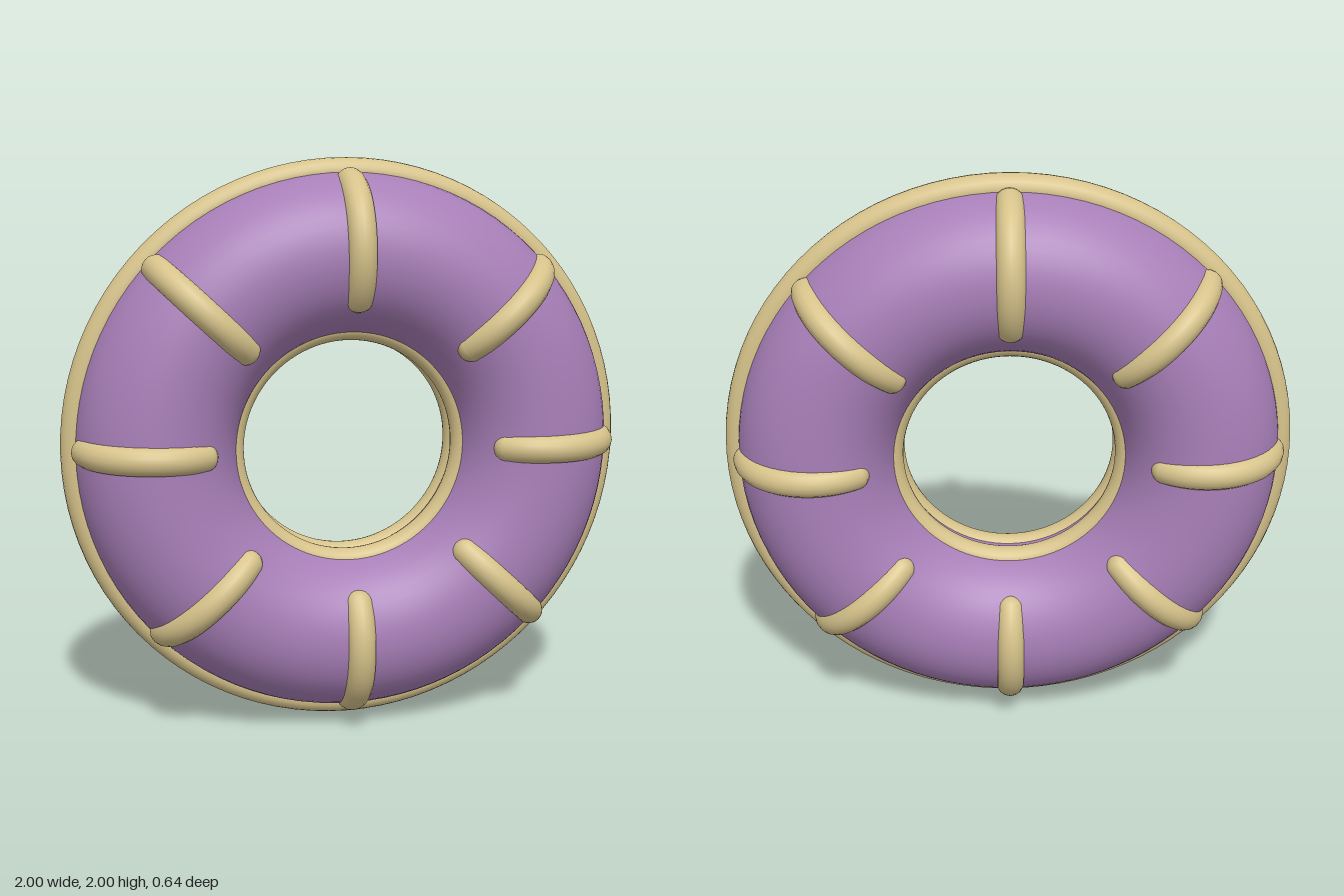
import * as THREE from 'three';

// Circular arc bowed over the tube, lying in the radius/z plane
class RibArc extends THREE.Curve {
  getPoint(t, target = new THREE.Vector3()) {
    const a = THREE.MathUtils.degToRad(10 + 120 * t);
    return target.set(0.685 + 0.235 * Math.cos(a), 0, 0.033 + 0.235 * Math.sin(a));
  }
}

export function createModel() {
  const purple = new THREE.MeshStandardMaterial({ color: 0xa87fb8 });
  purple.name = 'purple';
  const sand = new THREE.MeshStandardMaterial({ color: 0xd6c28a });
  sand.name = 'sand';

  const model = new THREE.Group();
  model.name = 'ring';

  const addRing = (name, radius, tube, z, material, sides = 20) => {
    const mesh = new THREE.Mesh(new THREE.TorusGeometry(radius, tube, sides, 96), material);
    mesh.name = name;
    mesh.position.set(0, 1, z);
    model.add(mesh);
  };

  // Fat body with an outer seam cord and a pair of cords inside the hole
  addRing('body', 0.672, 0.282, -0.006, purple, 48);
  addRing('outerCord', 0.95, 0.05, -0.01, sand);
  addRing('innerCordFront', 0.418, 0.045, 0.042, sand);
  addRing('innerCordBack', 0.418, 0.045, -0.054, sand);

  // Eight round-ended ribs on each face
  const arc = new RibArc();
  const ribGeometry = new THREE.TubeGeometry(arc, 28, 0.05, 16);
  const capGeometry = new THREE.SphereGeometry(0.05, 16, 12);
  const angles = [0, 42, 90, 136.5, 179, 223.5, 270, 316.5];
  for (const side of ['front', 'back']) {
    const ribs = new THREE.Group();
    ribs.name = side + 'Ribs';
    for (const degrees of angles) {
      const rib = new THREE.Group();
      rib.name = 'rib';
      rib.add(new THREE.Mesh(ribGeometry, sand));
      for (const t of [0, 1]) {
        const cap = new THREE.Mesh(capGeometry, sand);
        cap.name = 'ribEnd';
        cap.position.copy(arc.getPoint(t));
        rib.add(cap);
      }
      rib.children[0].name = 'ribArc';
      rib.rotation.z = THREE.MathUtils.degToRad(side === 'front' ? degrees : 180 - degrees);
      ribs.add(rib);
    }
    ribs.position.set(0, 1, -0.003);
    if (side === 'back') ribs.rotation.y = Math.PI;
    model.add(ribs);
  }
  return model;
}
